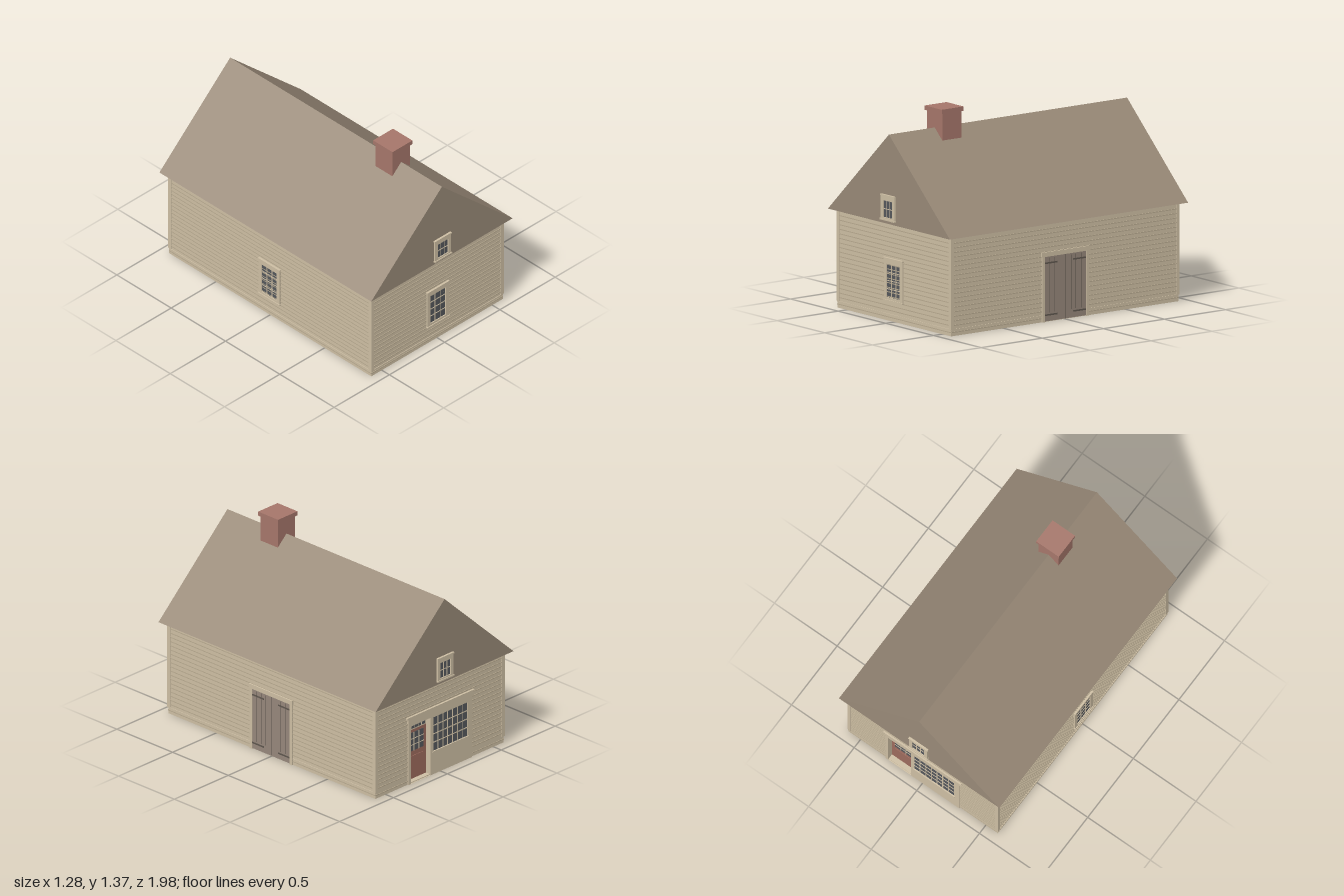
import * as THREE from 'three';

const mat = (name, color, side = THREE.FrontSide) => {
  const m = new THREE.MeshStandardMaterial({ color, side });
  m.name = name;
  return m;
};

export function createModel() {
  const cream = mat('cream paint', 0xcdbea3);
  const creamWall = mat('cream wall', 0xcdbea3, THREE.DoubleSide);
  const lap = mat('clapboard lap', 0xb7a98f);
  const shingle = mat('weathered shingle', 0x988977);
  const plank = mat('barn plank', 0x95867a);
  const iron = mat('dark iron', 0x5e564e);
  const brick = mat('brick', 0xa5766a);
  const red = mat('red door paint', 0x9c6a5c);
  const glass = mat('dark glass', 0x54575b);

  const W = 0.595, D = 0.93, H = 0.65;
  const model = new THREE.Group();
  model.name = 'storehouse';

  const add = (parent, name, geo, m, x = 0, y = 0, z = 0) => {
    const mesh = new THREE.Mesh(geo, m);
    mesh.name = name;
    mesh.position.set(x, y, z);
    parent.add(mesh);
    return mesh;
  };
  // Box given by its two extreme corners
  const box = (parent, name, m, x0, x1, y0, y1, z0, z1) =>
    add(parent, name, new THREE.BoxGeometry(x1 - x0, y1 - y0, z1 - z0), m,
      (x0 + x1) / 2, (y0 + y1) / 2, (z0 + z1) / 2);
  const rect = (T, x0, x1, y0, y1) => new T([[x0, y0], [x1, y0], [x1, y1], [x0, y1]]
    .map(p => new THREE.Vector2(...p)));
  // Group whose local +z points out of a wall
  const facing = (name, angle, dist) => {
    const g = new THREE.Group();
    g.name = name;
    g.rotation.y = angle;
    g.position.set(Math.sin(angle) * dist, 0, Math.cos(angle) * dist);
    model.add(g);
    return g;
  };
  // Glass pane with a grid of glazing bars in front
  const glazing = (g, x0, x1, y0, y1, z, cols, rows, bar = 0.005) => {
    box(g, 'glass', glass, x0, x1, y0, y1, z - 0.003, z);
    for (let i = 1; i < cols; i++) {
      const x = x0 + (x1 - x0) * i / cols;
      box(g, 'glazingBar', cream, x - bar / 2, x + bar / 2, y0, y1, z, z + 0.003);
    }
    for (let j = 1; j < rows; j++) {
      const y = y0 + (y1 - y0) * j / rows;
      box(g, 'glazingBar', cream, x0, x1, y - bar / 2, y + bar / 2, z, z + 0.003);
    }
  };
  const framed = (g, w, y0, y1, gw, g0, g1, cols, rows) => {
    const s = rect(THREE.Shape, -w, w, y0, y1);
    s.holes.push(rect(THREE.Path, -gw, gw, g0, g1));
    add(g, 'windowFrame', new THREE.ExtrudeGeometry(s, { depth: 0.011, bevelEnabled: false }), cream);
    box(g, 'windowHead', cream, -w - 0.003, w + 0.003, y1 - 0.004, y1 + 0.005, 0, 0.015);
    box(g, 'windowSill', cream, -w - 0.004, w + 0.004, y0 - 0.01, y0, 0, 0.017);
    glazing(g, -gw, gw, g0, g1, 0.004, cols, rows);
  };

  // Walls, open below; the back wall has the door opening
  const door = [-0.275, -0.09, 0, 0.41];
  for (let i = 0; i < 4; i++) {
    const side = i % 2 === 1, back = i === 2;
    const half = side ? D : W, dist = side ? W : D;
    const g = facing(['frontWall', 'leftWall', 'backWall', 'rightWall'][i], i * Math.PI / 2, dist);
    const s = rect(THREE.Shape, -half, half, 0, H);
    if (back) s.holes.push(rect(THREE.Path, door[0], door[1], 0.0005, door[3]));
    add(g, 'wall', new THREE.ShapeGeometry(s), creamWall);
    // Corner boards
    for (const k of [-1, 1]) {
      const a = k * (half + 0.005), b = k * (half - 0.02);
      box(g, 'cornerBoard', cream, Math.min(a, b), Math.max(a, b), 0.045, H, 0, 0.005);
    }
    // Clapboard laps, interrupted at the shop front
    for (let r = 0; r < 20; r++) {
      const y = r ? 0.04 + r * 0.03 : 0.025;
      const e = half - (r ? 0.02 : 0);
      const spans = back && y < 0.45 ? [[-e, -0.295], [0.295, e]] : [[-e, e]];
      for (const [a, b] of spans) box(g, 'clapboardLap', lap, a, b, y - 0.003, y + 0.003, 0, 0.004);
    }
    if (!back) box(g, 'baseBoardCap', cream, -half, half, 0.041, 0.046, 0, 0.004);
  }

  // Gabled roof block
  const gable = new THREE.Shape([[-0.64, H], [0.64, H], [0, 1.24]].map(p => new THREE.Vector2(...p)));
  add(model, 'roof', new THREE.ExtrudeGeometry(gable, { depth: 1.95, bevelEnabled: false }), shingle, 0, 0, -0.975);

  // Chimney
  box(model, 'chimneyStack', brick, -0.08, 0.08, 0.54, 1.345, 0.445, 0.6);
  box(model, 'chimneyCap', brick, -0.09, 0.09, 1.343, 1.372, 0.433, 0.612);

  // Windows
  framed(facing('frontWindow', 0, D), 0.097, 0.14, 0.41, 0.07, 0.155, 0.375, 3, 4);
  framed(facing('sideWindow', -Math.PI / 2, W), 0.097, 0.14, 0.41, 0.07, 0.155, 0.375, 3, 4);
  for (const a of [0, Math.PI])
    framed(facing('gableWindow', a, 0.975), 0.073, 0.682, 0.836, 0.048, 0.692, 0.802, 3, 2);

  // Barn doors
  const barn = facing('barnDoors', Math.PI / 2, W);
  box(barn, 'doorHead', cream, -0.195, 0.195, 0.43, 0.46, 0, 0.014);
  for (const k of [-1, 1]) {
    const span = (name, m, a, b, y0, y1, z0, z1) =>
      box(barn, name, m, Math.min(k * a, k * b), Math.max(k * a, k * b), y0, y1, z0, z1);
    span('doorPost', cream, 0.17, 0.19, 0, 0.43, 0, 0.011);
    span('doorLeaf', plank, 0.001, 0.17, 0.004, 0.43, 0, 0.006);
    for (const x of [0.048, 0.085, 0.13]) span('plankGroove', iron, x - 0.0015, x + 0.0015, 0.06, 0.42, 0.006, 0.0065);
    for (const y of [0.045, 0.387]) span('strapHinge', iron, 0.065, 0.168, y - 0.005, y + 0.005, 0.006, 0.009);
  }
  box(barn, 'doorGap', iron, -0.001, 0.001, 0.004, 0.43, 0, 0.005);

  // Shop front: panelled surround with a recessed door and a wide display window
  const shop = facing('shopFront', Math.PI, D);
  const win = [-0.065, 0.25, 0.165, 0.405];
  const panel = rect(THREE.Shape, -0.295, 0.295, 0, 0.44);
  panel.holes.push(rect(THREE.Path, door[0], door[1], 0.0005, door[3]), rect(THREE.Path, ...win));
  add(shop, 'shopPanel', new THREE.ExtrudeGeometry(panel, { depth: 0.008, bevelEnabled: false }), cream);
  box(shop, 'shopFascia', cream, -0.3, 0.3, 0.435, 0.47, 0, 0.01);
  box(shop, 'shopCornice', cream, -0.31, 0.31, 0.465, 0.48, 0, 0.014);
  box(shop, 'displaySill', cream, win[0] - 0.01, win[1] + 0.01, 0.155, 0.165, 0, 0.013);
  glazing(shop, ...win, 0.004, 7, 4, 0.006);
  const r = -0.035;
  box(shop, 'doorJamb', cream, door[0] - 0.005, door[0], 0, door[3], r, 0);
  box(shop, 'doorJamb', cream, door[1], door[1] + 0.005, 0, door[3], r, 0);
  box(shop, 'doorSoffit', cream, door[0], door[1], door[3], door[3] + 0.005, r, 0);
  box(shop, 'doorStep', cream, door[0], door[1], 0, 0.006, r, 0);
  box(shop, 'shopDoor', red, door[0], door[1], 0.006, 0.355, r - 0.01, r);
  box(shop, 'transomFrame', cream, door[0], door[1], 0.355, door[3], r - 0.01, r);
  glazing(shop, door[0] + 0.012, door[1] - 0.012, 0.364, 0.4, r + 0.003, 5, 1);
  glazing(shop, door[0] + 0.025, door[1] - 0.025, 0.205, 0.335, r + 0.003, 3, 3, 0.004);
  box(shop, 'doorPanel', red, door[0] + 0.03, door[1] - 0.03, 0.04, 0.17, r, r + 0.004);

  return model;
}
